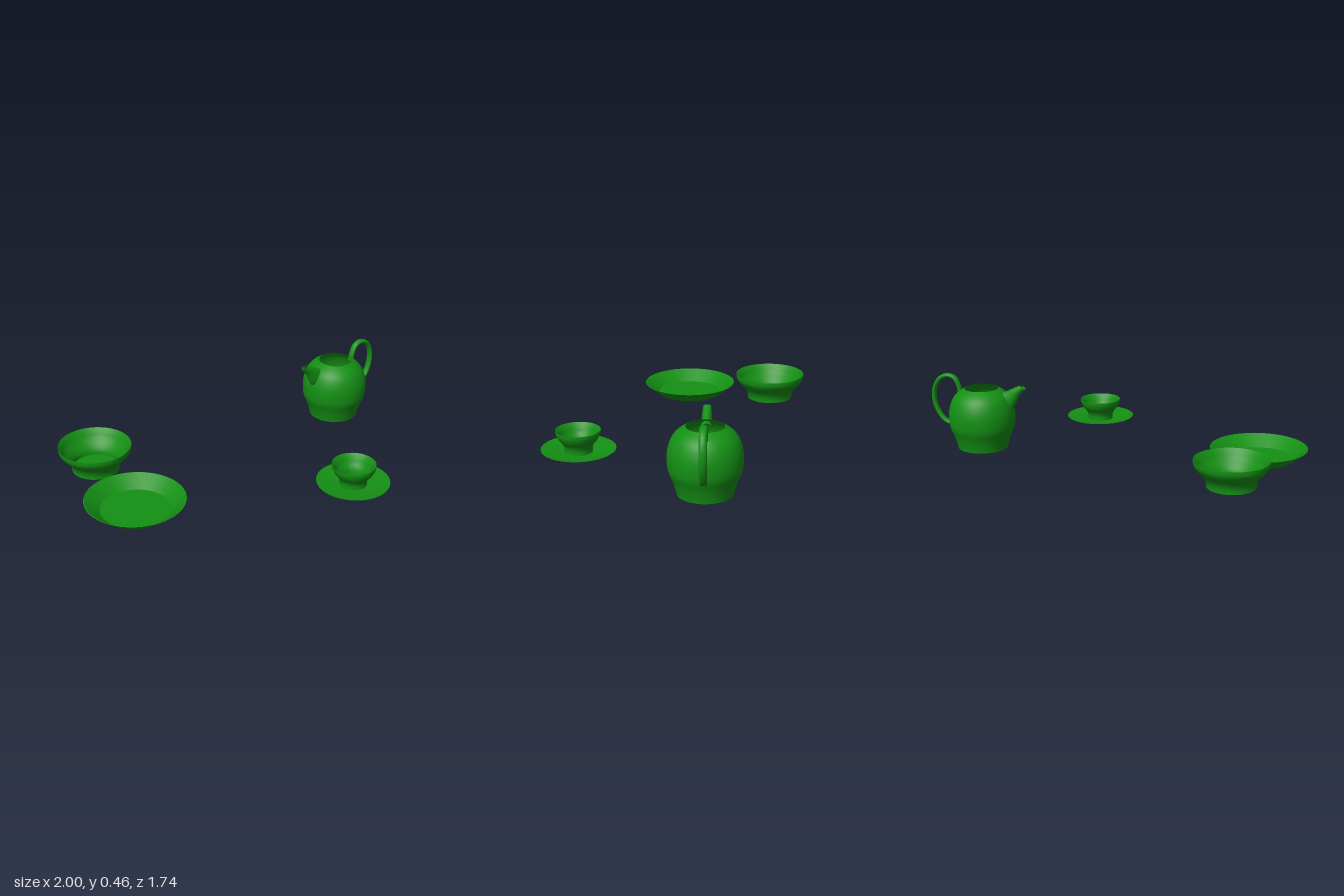
import * as THREE from 'three';
import { toCreasedNormals } from 'three/addons/utils/BufferGeometryUtils.js';

const material = new THREE.MeshStandardMaterial({ color: 0x149014, side: THREE.DoubleSide });
const vec = (pts) => pts.map(([x, y]) => new THREE.Vector2(x, y));
const smooth = (pts, n = 14) => new THREE.SplineCurve(vec(pts)).getPoints(n);

function add(group, name, geometry) {
  const mesh = new THREE.Mesh(geometry, material);
  mesh.name = name;
  group.add(mesh);
  return mesh;
}

// Turned piece with sharp edges kept where the profile bends strongly
const turned = (points) => toCreasedNormals(new THREE.LatheGeometry(points, 56), 0.6);

function placed(parent, name, x, z) {
  const group = new THREE.Group();
  group.name = name;
  group.position.set(x, 0, z);
  parent.add(group);
  return group;
}

function buildTeapot(parent) {
  const pot = placed(parent, 'teapot', 0.72, -0.65);
  // Body with an open top
  add(pot, 'teapotBody', turned([
    ...vec([[0, 0]]),
    ...smooth([[0.155, 0], [0.162, 0.03], [0.178, 0.08], [0.2, 0.135], [0.206, 0.19],
      [0.202, 0.25], [0.182, 0.31], [0.15, 0.35], [0.105, 0.38]], 32),
  ]));

  // Spout and handle share one upright plane
  const arms = new THREE.Group();
  arms.name = 'spoutAndHandle';
  arms.rotation.y = 0.686;
  pot.add(arms);

  // Tapered spout: each ring spans from its lower to its upper edge
  const lower = new THREE.SplineCurve(vec([[-0.185, 0.24], [-0.215, 0.275], [-0.25, 0.345], [-0.29, 0.388]]));
  const upper = new THREE.SplineCurve(vec([[-0.12, 0.35], [-0.17, 0.372], [-0.21, 0.392], [-0.255, 0.412]]));
  const spout = new THREE.CylinderGeometry(1, 1, 1, 24, 12, true);
  const p = spout.attributes.position;
  for (let i = 0; i < p.count; i++) {
    const t = p.getY(i) + 0.5;
    const a = lower.getPoint(t), b = upper.getPoint(t);
    const m = a.lerp(b, (p.getX(i) + 1) / 2);
    p.setXYZ(i, m.x, m.y, p.getZ(i) * (0.035 - 0.013 * t));
  }
  spout.computeVertexNormals();
  add(arms, 'spout', spout);

  // Looped handle, wider than thick
  const path = new THREE.CatmullRomCurve3([
    [0.14, 0.335], [0.15, 0.385], [0.175, 0.432], [0.22, 0.448], [0.275, 0.425], [0.312, 0.36],
    [0.315, 0.28], [0.285, 0.2], [0.245, 0.155], [0.195, 0.135],
  ].map(([x, y]) => new THREE.Vector3(x, y, 0)));
  const handle = new THREE.TubeGeometry(path, 48, 0.014, 14, false);
  handle.scale(1, 1, 1.5);
  add(arms, 'handle', handle);
}

// Walled vessel: floor, flared outer wall, upright lip and inner wall
function vessel(outer, rimTop, inner) {
  const out = smooth(outer);
  return turned([...vec([[0, outer[0][1]]]), ...out, ...vec(rimTop), ...smooth(inner), ...vec([[0, inner[inner.length - 1][1]]])]);
}

export function createModel() {
  const model = new THREE.Group();
  model.name = 'teaSet';
  buildTeapot(model);

  // Bowl
  add(placed(model, 'bowlGroup', -0.78, 0.11), 'bowl', vessel(
    [[0.145, 0], [0.148, 0.03], [0.165, 0.065], [0.195, 0.095], [0.215, 0.12]],
    [[0.222, 0.14], [0.222, 0.16]],
    [[0.203, 0.135], [0.185, 0.105], [0.155, 0.07], [0.138, 0.04], [0.135, 0.015]],
  ));

  // Plate
  add(placed(model, 'plateGroup', -0.5, 0.575), 'plate',
    turned(vec([[0, 0], [0.207, 0], [0.297, 0.072], [0.293, 0.073], [0.205, 0.006], [0, 0.006]])));

  // Cup on its saucer
  const cupSet = placed(model, 'cupAndSaucer', 0.775, 0.29);
  add(cupSet, 'saucer',
    turned(vec([[0, 0], [0.105, 0], [0.22, 0.028], [0.22, 0.032], [0.1, 0.012], [0, 0.012]])));
  add(cupSet, 'cup', vessel(
    [[0.082, 0.012], [0.083, 0.04], [0.094, 0.065], [0.114, 0.09], [0.125, 0.11]],
    [[0.132, 0.13], [0.132, 0.145]],
    [[0.108, 0.118], [0.098, 0.095], [0.082, 0.07], [0.074, 0.045], [0.071, 0.025]],
  ));

  return model;
}
